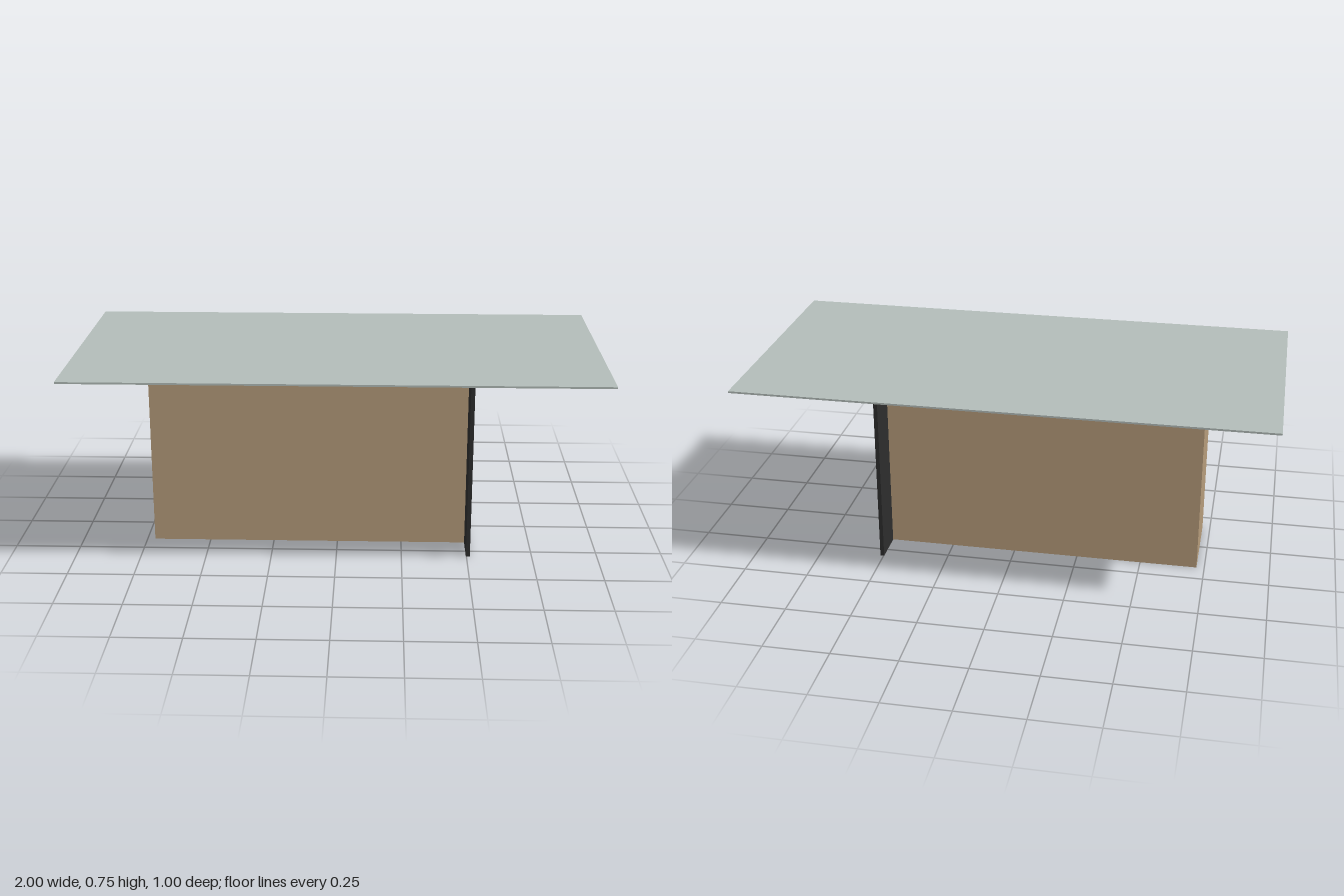
import * as THREE from 'three';

export function createModel() {
  const model = new THREE.Group();
  model.name = 'table';

  const material = (name, color) => {
    const m = new THREE.MeshStandardMaterial({ color });
    m.name = name;
    return m;
  };
  const glass = material('pale glass', 0xb3bdb9);
  const wood = material('light wood', 0xb69c7b);
  const black = material('black panel', 0x2d2d2d);

  // Box given by its minimum and maximum corners
  const addBox = (name, mat, [x0, y0, z0], [x1, y1, z1]) => {
    const mesh = new THREE.Mesh(new THREE.BoxGeometry(x1 - x0, y1 - y0, z1 - z0), mat);
    mesh.position.set((x0 + x1) / 2, (y0 + y1) / 2, (z0 + z1) / 2);
    mesh.name = name;
    model.add(mesh);
  };

  const underside = 0.743;

  // Thin overhanging top
  addBox('tableTop', glass, [-1, underside, -0.5], [1, 0.75, 0.5]);
  // Solid wooden pedestal, off centre
  addBox('pedestal', wood, [-0.72, 0, -0.166], [0.498, underside, 0.166]);
  // Wide upright panel closing the pedestal's left end
  addBox('endPanel', black, [0.498, 0, -0.3], [0.513, underside, 0.3]);

  return model;
}
